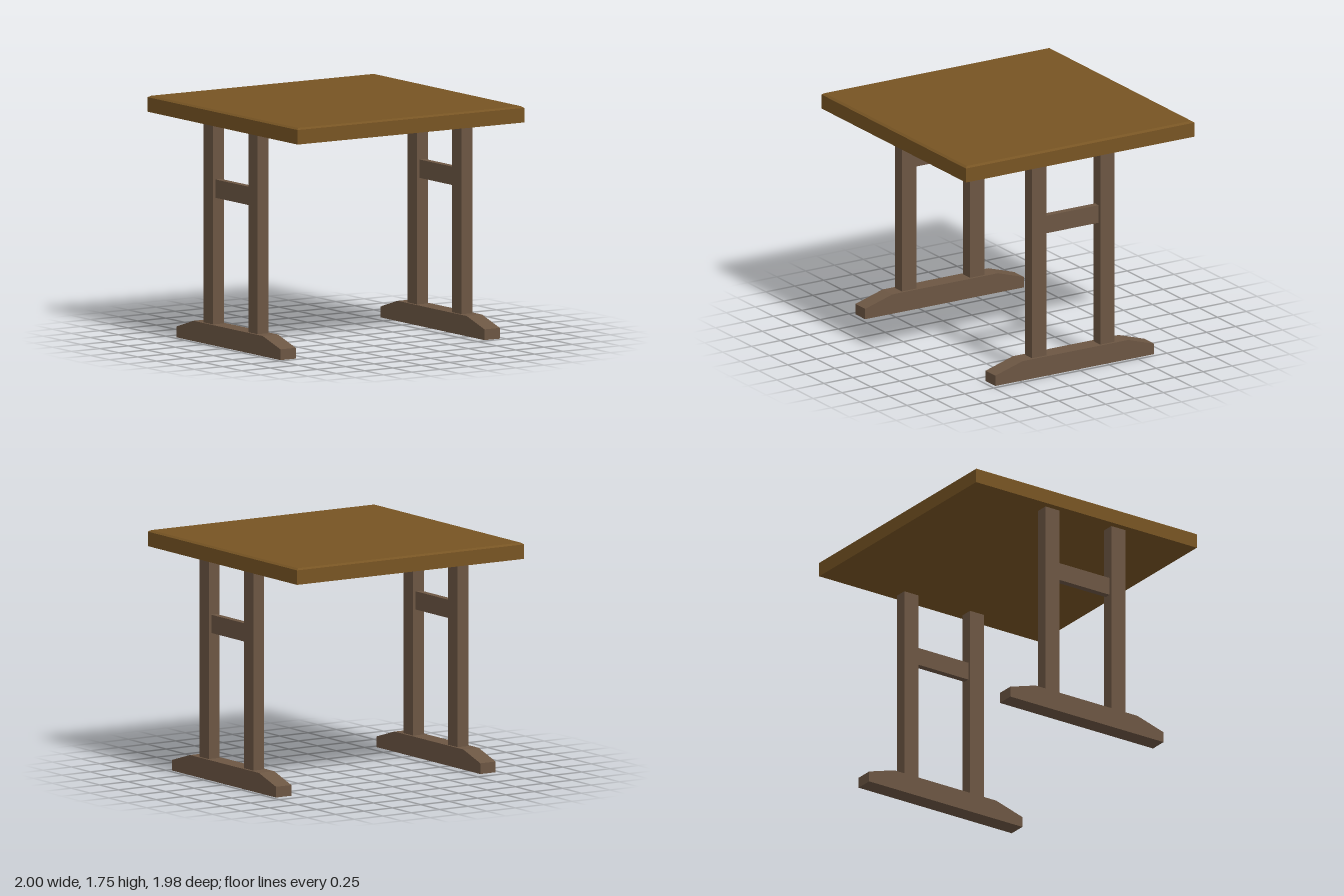
import * as THREE from 'three';

const wood = new THREE.MeshStandardMaterial({ color: 0x775423 });
wood.name = 'golden wood';
const darkWood = new THREE.MeshStandardMaterial({ color: 0x6c5643 });
darkWood.name = 'dark wood';

function addMesh(parent, name, geometry, material) {
  const mesh = new THREE.Mesh(geometry, material);
  mesh.name = name;
  parent.add(mesh);
  return mesh;
}

// Box given by its lower and upper corners
function addBox(parent, name, [x0, y0, z0], [x1, y1, z1]) {
  const geometry = new THREE.BoxGeometry(x1 - x0, y1 - y0, z1 - z0);
  geometry.translate((x0 + x1) / 2, (y0 + y1) / 2, (z0 + z1) / 2);
  return addMesh(parent, name, geometry, darkWood);
}

// Slab with a narrow bevel around its upper edge
function tabletopGeometry() {
  const bottom = 1.635, top = 1.755, inset = 0.018, drop = 0.012;
  const geometry = new THREE.BoxGeometry(2, 2, 1.98, 1, 2, 1).toNonIndexed();
  const p = geometry.attributes.position;
  for (let i = 0; i < p.count; i++) {
    const level = Math.round(p.getY(i));
    p.setY(i, level < 0 ? bottom : level > 0 ? top : top - drop);
    if (level > 0) {
      p.setX(i, p.getX(i) - Math.sign(p.getX(i)) * inset);
      p.setZ(i, p.getZ(i) - Math.sign(p.getZ(i)) * inset);
    }
  }
  geometry.computeVertexNormals();
  return geometry;
}

// Foot with sloping ends, running front to back
function footGeometry() {
  const profile = [[-0.66, 0], [0.715, 0], [0.715, 0.08], [0.48, 0.15], [-0.435, 0.15], [-0.66, 0.08]];
  const shape = new THREE.Shape(profile.map(([z, y]) => new THREE.Vector2(z, y)));
  const width = 0.135;
  const geometry = new THREE.ExtrudeGeometry(shape, { depth: width, bevelEnabled: false });
  geometry.translate(0, 0, -width / 2);
  geometry.rotateY(-Math.PI / 2);
  return geometry;
}

export function createModel() {
  const table = new THREE.Group();
  table.name = 'table';
  addMesh(table, 'tabletop', tabletopGeometry(), wood);

  // Two matching leg frames
  for (const [side, sign] of [['left', 1], ['right', -1]]) {
    const frame = new THREE.Group();
    frame.name = side + 'LegFrame';
    frame.position.x = sign * 0.9;
    addMesh(frame, 'foot', footGeometry(), darkWood);
    addBox(frame, 'frontPost', [-0.048, 0.15, 0.26], [0.048, 1.635, 0.385]);
    addBox(frame, 'backPost', [-0.048, 0.15, -0.33], [0.048, 1.635, -0.205]);
    addBox(frame, 'crossbar', [-0.025, 1.087, -0.205], [0.025, 1.223, 0.26]);
    table.add(frame);
  }
  return table;
}
